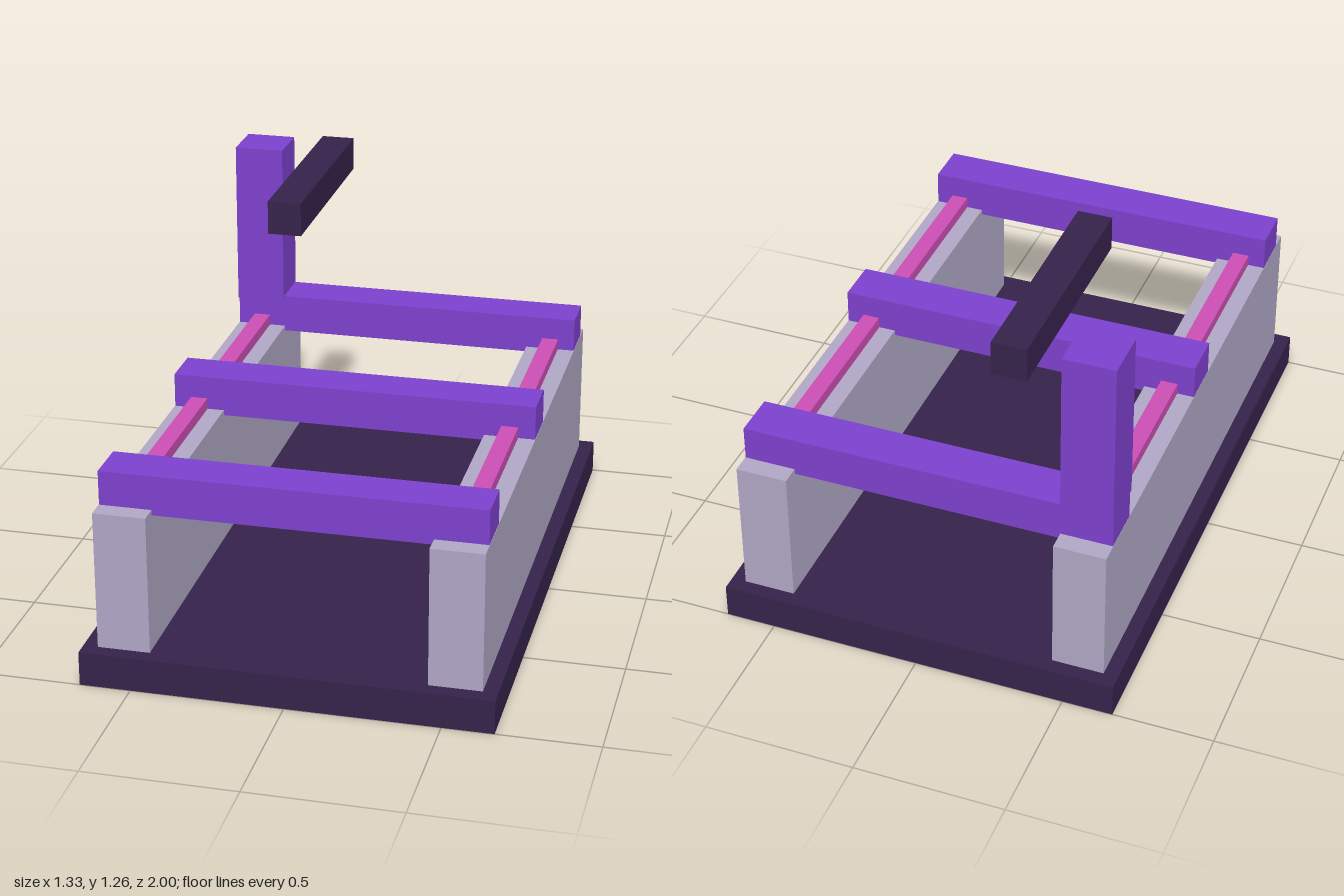
import * as THREE from 'three';

const material = (name, color) => {
  const m = new THREE.MeshStandardMaterial({ color });
  m.name = name;
  return m;
};

export function createModel() {
  const dark = material('dark plum', 0x35224a);
  const purple = material('purple', 0x7c40cc);
  const pink = material('pink', 0xcb4eb3);
  const grey = material('lilac grey', 0xafa6c4);

  const model = new THREE.Group();
  model.name = 'gantryFrame';

  // Box given by its extents along each axis
  const box = (name, mat, [x0, x1], [y0, y1], [z0, z1]) => {
    const mesh = new THREE.Mesh(new THREE.BoxGeometry(x1 - x0, y1 - y0, z1 - z0), mat);
    mesh.position.set((x0 + x1) / 2, (y0 + y1) / 2, (z0 + z1) / 2);
    mesh.name = name;
    model.add(mesh);
  };

  box('base', dark, [-0.667, 0.667], [0, 0.115], [-1, 1]);

  // Side walls, each carrying a rail
  for (const [side, s] of [['left', 1], ['right', -1]]) {
    const span = (a, b) => (s > 0 ? [a, b] : [-b, -a]);
    box(side + 'Wall', grey, span(0.447, 0.619), [0.115, 0.582], [-0.95, 0.95]);
    box(side + 'Rail', pink, span(0.504, 0.561), [0.58, 0.62], [-0.86, 0.86]);
  }

  // Cross beams
  for (const [name, z] of [['frontBeam', 0.808], ['middleBeam', 0], ['rearBeam', -0.808]]) {
    box(name, purple, [-0.618, 0.618], [0.564, 0.697], [z - 0.077, z + 0.077]);
  }

  // Corner post and the separate arm beside it
  box('post', purple, [-0.62, -0.449], [0.68, 1.251], [-0.895, -0.724]);
  box('arm', dark, [-0.344, -0.23], [1.146, 1.26], [-0.903, -0.143]);

  return model;
}
